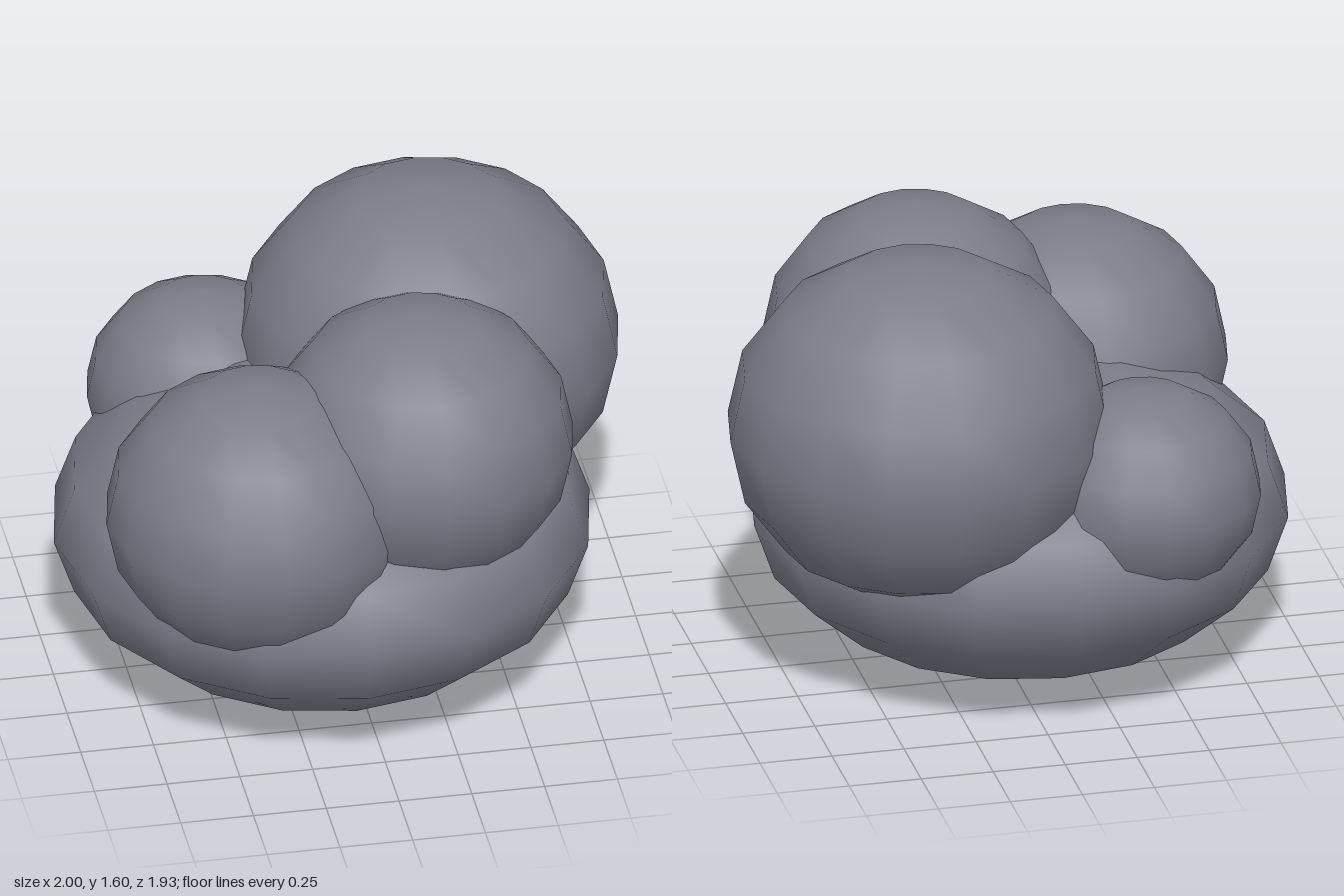
import * as THREE from 'three';

export function createModel() {
  const group = new THREE.Group();
  group.name = 'puffyCloud';
  const slate = new THREE.MeshStandardMaterial({ color: 0x7a7c87 });
  slate.name = 'slateGrey';

  // One coarse, smooth-shaded ball shared by every puff
  const ball = new THREE.SphereGeometry(1, 16, 8);

  function puff(name, [x, y, z], [rx, ry, rz]) {
    const mesh = new THREE.Mesh(ball, slate);
    mesh.name = name;
    mesh.position.set(x, y, z);
    mesh.scale.set(rx, ry, rz);
    group.add(mesh);
  }

  // Wide flattened base
  puff('basePuff', [-0.08, 0.53, 0.005], [0.92, 0.53, 0.92]);
  // Slightly squashed puffs on top
  puff('largeBackLeftPuff', [0.345, 1.0, -0.32], [0.655, 0.6, 0.65]);
  puff('frontLeftPuff', [0.2, 1.02, 0.34], [0.52, 0.49, 0.525]);
  puff('frontRightPuff', [-0.38, 0.86, 0.44], [0.52, 0.49, 0.52]);
  puff('smallBackRightPuff', [-0.39, 0.77, -0.51], [0.4, 0.37, 0.4]);

  return group;
}
